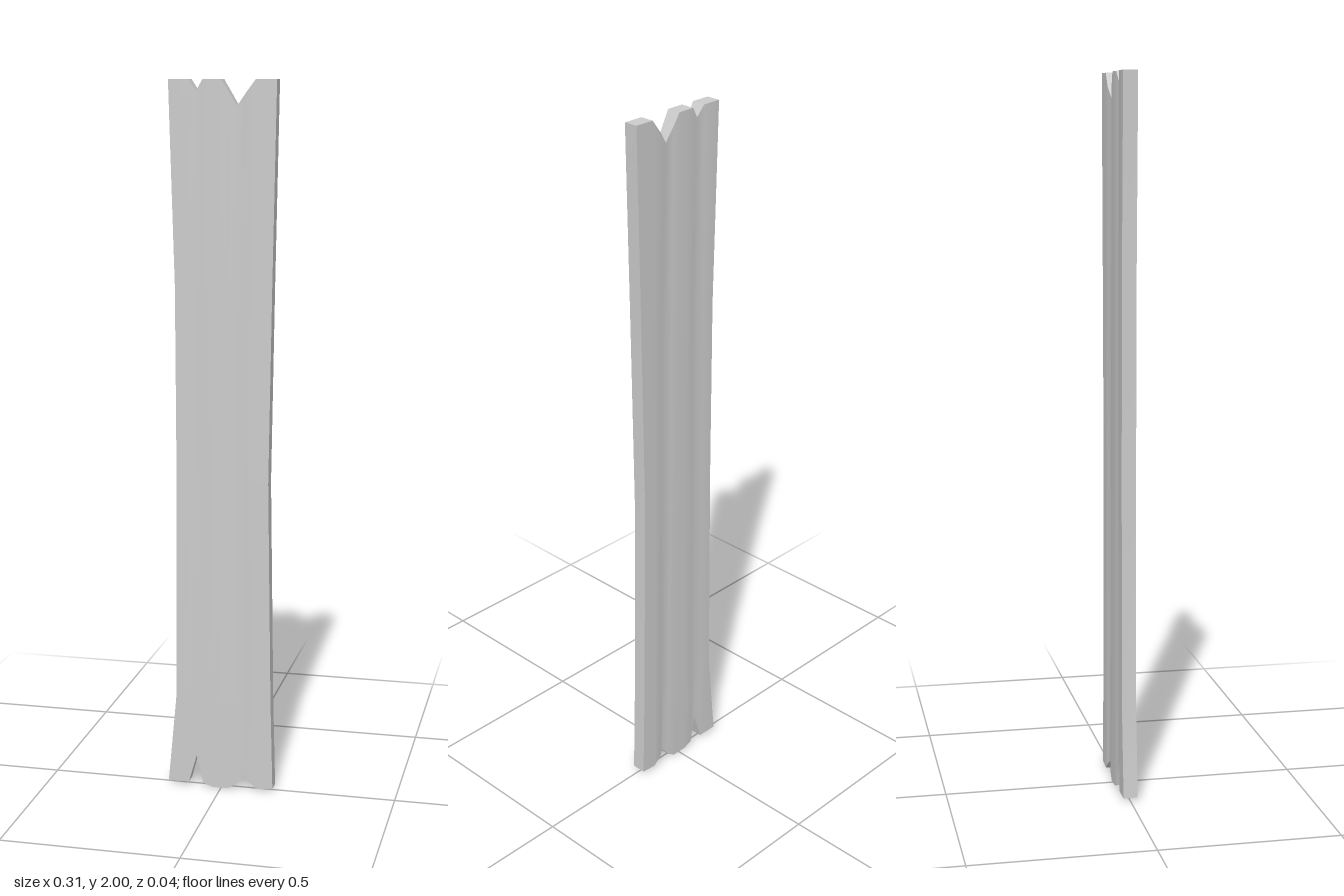
import * as THREE from 'three';
import { toCreasedNormals } from 'three/addons/utils/BufferGeometryUtils.js';

// Columns across the board: [bottom x, bottom y, top x, top y, half thickness]
const COLUMNS = [
  [-0.155, 0.01, -0.145, 2, 0.02],
  [-0.095, 0.01, -0.09, 2, 0.02],
  [-0.073, 0.09, -0.069, 1.97, 0.015],
  [-0.052, 0.01, -0.05, 2, 0.02],
  [-0.025, 0, -0.03, 2, 0.02],
  [0.02, 0, 0, 2, 0.02],
  [0.045, 0.015, 0.02, 1.967, 0.018],
  [0.065, 0.04, 0.043, 1.93, 0.014],
  [0.08, 0.027, 0.065, 1.96, 0.02],
  [0.105, 0.005, 0.095, 2, 0.02],
  [0.153, 0.01, 0.153, 2, 0.02],
];

// Rows up the board: [height fraction, left edge x, right edge x]
const ROWS = [
  [0, -0.155, 0.151],
  [0.13, -0.131, 0.144],
  [0.45, -0.127, 0.134],
  [0.72, -0.129, 0.142],
  [1, -0.145, 0.152],
];

function plankGeometry() {
  const count = COLUMNS.length, ring = count * 2;
  const positions = [], index = [];
  const quad = (a, b, c, d) => index.push(a, b, c, a, c, d);

  // Each row is a ring: front left to right, then back right to left
  ROWS.forEach(([t, left, right]) => {
    for (let k = 0; k < ring; k++) {
      const i = k < count ? k : ring - 1 - k;
      const [xb, yb, xt, yt, half] = COLUMNS[i];
      let x = THREE.MathUtils.lerp(xb, xt, t);
      if (i === 0) x = left;
      if (i === count - 1) x = right;
      positions.push(x, THREE.MathUtils.lerp(yb, yt, t), k < count ? half : -half);
    }
  });

  // Faces and long edges
  for (let r = 0; r < ROWS.length - 1; r++) {
    for (let k = 0; k < ring; k++) {
      const a = r * ring + k, b = r * ring + (k + 1) % ring;
      quad(a, b, b + ring, a + ring);
    }
  }

  // Notched ends
  const top = (ROWS.length - 1) * ring;
  for (let i = 0; i < count - 1; i++) {
    const back = ring - 1 - i;
    quad(top + i, top + i + 1, top + back - 1, top + back);
    quad(i, back, back - 1, i + 1);
  }

  const geometry = new THREE.BufferGeometry();
  geometry.setAttribute('position', new THREE.Float32BufferAttribute(positions, 3));
  geometry.setIndex(index);
  return toCreasedNormals(geometry, 0.6);
}

export function createModel() {
  const group = new THREE.Group();
  group.name = 'woodenPlank';
  const plank = new THREE.Mesh(
    plankGeometry(),
    new THREE.MeshStandardMaterial({ color: 0xcccccc })
  );
  plank.name = 'plank';
  group.add(plank);
  return group;
}
